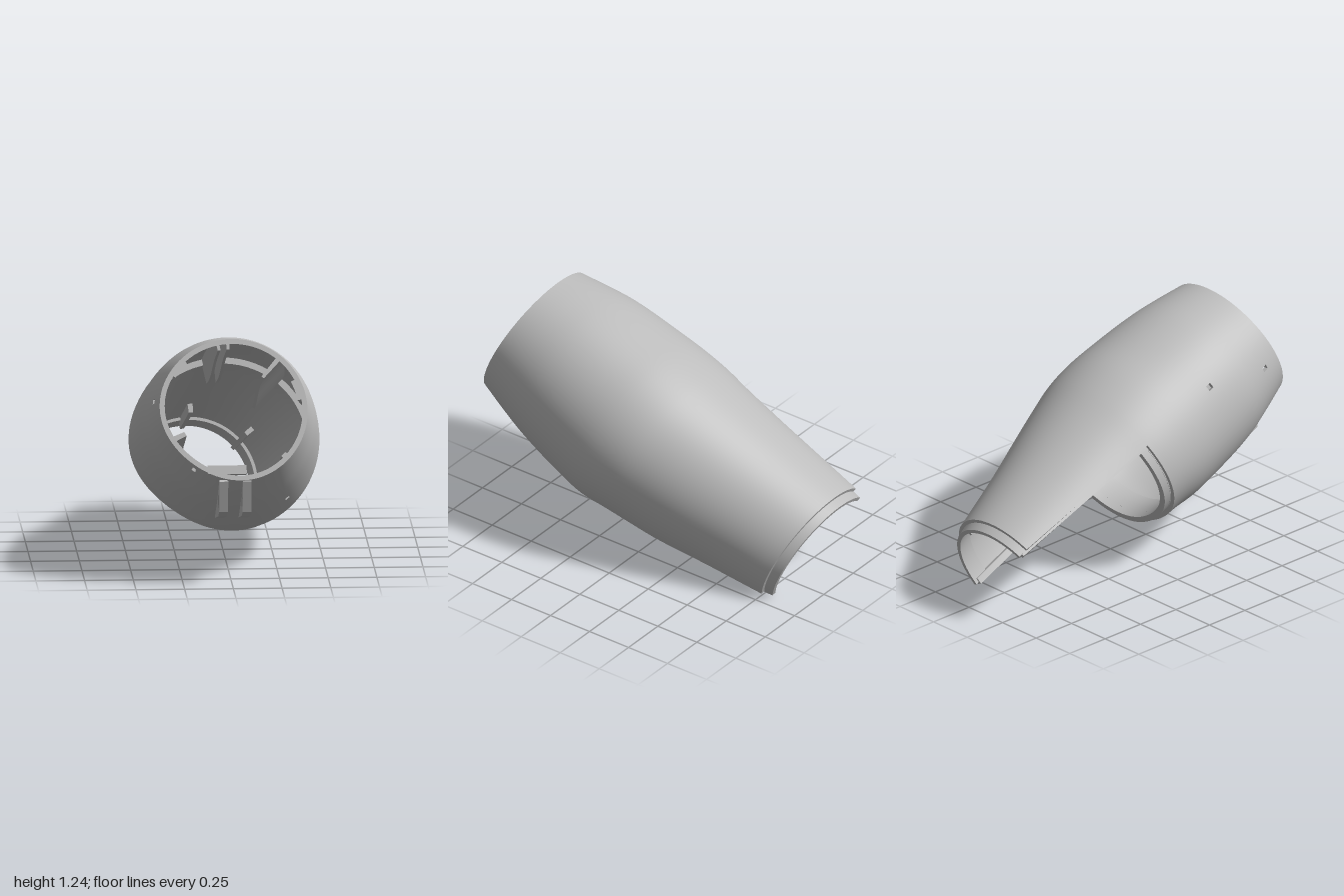
import * as THREE from 'three';
import { toCreasedNormals } from 'three/addons/utils/BufferGeometryUtils.js';

const RAD = Math.PI / 180;
const WALL = 0.026;
const BODY_END = 0.945, TAIL_END = 1.822;
// The tail is cut by a plane along the axis; its normal leans right and up.
const CUT = 50.5, NX = Math.cos(CUT * RAD), NY = Math.sin(CUT * RAD);

// Cross-sections along the axis: centre x, centre y, half width, half height
const stations = [0, 0.15, 0.3, 0.6, 0.75, 0.9, 1.05, 1.2, 1.5, 1.87];
const sections = [
  0.007, 0, 0.382, 0.376,
  0.003, 0, 0.415, 0.415,
  0, 0, 0.445, 0.446,
  0, 0, 0.478, 0.475,
  -0.002, 0.003, 0.487, 0.48,
  -0.01, 0.013, 0.482, 0.463,
  -0.025, 0.008, 0.462, 0.45,
  -0.045, 0, 0.444, 0.438,
  -0.09, -0.005, 0.405, 0.404,
  -0.14, -0.01, 0.365, 0.37,
];
const profile = new THREE.CubicInterpolant(
  new Float32Array(stations), new Float32Array(sections), 4, new Float32Array(4));

const at = (t) => [...profile.evaluate(t)];

// Point on the surface at an angle (degrees) and distance t, moved inward by inset;
// the side opposite the cut normal is slightly flattened
function point(deg, t, inset) {
  const [cx, cy, rx, ry] = at(t);
  const a = deg * RAD;
  const flat = (0.03 + 0.022 * THREE.MathUtils.smoothstep(t, 0.2, BODY_END))
    * Math.max(0, -Math.cos(a - CUT * RAD)) ** 3.5;
  const d = inset + flat;
  return [cx + (rx - d) * Math.cos(a), cy + (ry - d) * Math.sin(a), -t];
}

// Half angle kept by the cutting plane
function cutAngle(t) {
  const [cx, cy, rx, ry] = at(t);
  const offset = -0.04 + 0.03 * THREE.MathUtils.clamp((t - 0.96) / 0.9, 0, 1);
  return Math.acos((offset - NX * cx - NY * cy) / ((rx + ry) / 2)) / RAD;
}

// Thick curved panel; cells where keep() is false are left open with closed edges
function panel({ angle, n, rows, inset = 0, depth = () => WALL, closed = false, keep = () => true }) {
  const pos = [];
  const m = rows.length - 1;
  const quad = (a, b, c, d) => pos.push(...a, ...b, ...c, ...a, ...c, ...d);
  const kept = (i, j) => {
    if (j < 0 || j >= m) return false;
    if (closed) i = (i + n) % n;
    else if (i < 0 || i >= n) return false;
    return keep(i, j);
  };
  const grid = (d) => rows.map((t) =>
    Array.from({ length: n + 1 }, (_, i) => point(angle(i / n, t), t, d(t))));
  const O = grid(() => inset), I = grid((t) => inset + depth(t));
  for (let j = 0; j < m; j++) for (let i = 0; i < n; i++) {
    if (!kept(i, j)) continue;
    const [oa, ob, oc, od] = [O[j][i], O[j][i + 1], O[j + 1][i + 1], O[j + 1][i]];
    const [ia, ib, ic, id] = [I[j][i], I[j][i + 1], I[j + 1][i + 1], I[j + 1][i]];
    quad(oa, od, oc, ob);
    quad(ia, ib, ic, id);
    if (!kept(i, j - 1)) quad(ia, oa, ob, ib);
    if (!kept(i, j + 1)) quad(id, ic, oc, od);
    if (!kept(i - 1, j)) quad(ia, id, od, oa);
    if (!kept(i + 1, j)) quad(ib, ob, oc, ic);
  }
  const g = new THREE.BufferGeometry();
  g.setAttribute('position', new THREE.Float32BufferAttribute(pos, 3));
  return toCreasedNormals(g, 35 * RAD);
}

const steps = (a, b, n) => Array.from({ length: n + 1 }, (_, i) => a + (b - a) * i / n);

// Angles: first half of the range is the kept side, second half the cut-away side
const aroundCut = (f, t) => {
  const c = cutAngle(t);
  return CUT + (f < 0.5 ? -c + 4 * c * f : c + (f - 0.5) * 2 * (360 - 2 * c));
};
const keptSide = (f, t) => CUT + cutAngle(t) * (2 * f - 1);
const openSide = (f, t) => CUT + cutAngle(t) + f * (360 - 2 * cutAngle(t));

export function createModel() {
  const model = new THREE.Group();
  model.name = 'armShell';
  const grey = new THREE.MeshStandardMaterial({ color: 0xbcbcbc });
  grey.name = 'plainGrey';

  // Tilted frame: the axis runs back and down from the front opening
  const tilted = new THREE.Group();
  tilted.name = 'tiltedShell';
  tilted.position.set(0, 0.905, 0.85);
  tilted.rotation.x = -0.411;
  model.add(tilted);

  const add = (parent, name, geometry) => {
    const mesh = new THREE.Mesh(geometry, grey);
    mesh.name = name;
    parent.add(mesh);
    return mesh;
  };

  // Outer shell: full tube in front, half tube behind, with small screw holes
  const n = 96;
  const rows = [...steps(0, BODY_END, 30), ...steps(BODY_END, TAIL_END, 18).slice(1)];
  const holes = [[311, 0.5], [147, 0.47], [168, 0.12], [234, 0.06]].map(([deg, t]) => {
    let best = 0, gap = 999;
    for (let i = 0; i < n; i++) {
      const d = Math.abs(((aroundCut((i + 0.5) / n, t) - deg + 540) % 360) - 180);
      if (d < gap) { gap = d; best = i; }
    }
    return best + ',' + Math.floor(t / BODY_END * 30);
  });
  add(tilted, 'outerShell', panel({
    angle: aroundCut, n, rows, closed: true,
    keep: (i, j) => (j < 30 || i < n / 2) && !holes.includes(i + ',' + j),
  }));

  // Stepped joint lips
  add(tilted, 'tailLip', panel({
    angle: keptSide, n: 48, rows: steps(TAIL_END - 0.05, 1.87, 4), inset: 0.02, depth: () => 0.022 }));
  add(tilted, 'bodyLip', panel({
    angle: openSide, n: 48, rows: steps(BODY_END - 0.05, 0.99, 4), inset: 0.024, depth: () => 0.034 }));

  // Joint lips along both long cut edges, standing slightly past the shell
  for (const s of [-1, 1]) {
    add(tilted, s < 0 ? 'lowerEdgeLip' : 'upperEdgeLip', panel({
      angle: (f, t) => CUT + s * cutAngle(t) + (s < 0 ? -2 + 6 * f : -4 + 6 * f),
      n: 2, rows: steps(BODY_END, 1.85, 16), inset: 0.022, depth: () => 0.03 }));
  }

  // Straight ribs on the inner wall: angle, width, start, end, inner radius
  const ribs = {
    topRibLeft: [93, 2.5, 0.02, 0.87, 0.325],
    topRibRight: [101, 2.5, 0.02, 0.87, 0.325],
    sideFin: [49, 4, 0.005, 0.78, 0.23],
    sideRail: [205, 5, 0.03, 0.82, 0.285],
    lowerRail: [318, 5, 0.02, 0.5, 0.335],
  };
  for (const [name, [deg, width, t0, t1, radius]] of Object.entries(ribs)) {
    add(tilted, name, panel({
      angle: (f) => deg + width * (f - 0.5), n: 2, rows: steps(t0, t1, 16), inset: WALL - 0.004,
      depth: (t) => (at(t)[2] + at(t)[3]) / 2 - WALL - radius }));
  }

  // Thickened patches on the wall: angle, width, start, end, depth
  const pads = {
    sidePad: [18, 18, 0, 0.15, 0.025],
    upperPad: [140, 16, 0.01, 0.12, 0.02],
    tailRibLeft: [40, 4, 1.55, 1.82, 0.05],
    tailRibRight: [95, 4, 1.55, 1.82, 0.05],
  };
  for (const [name, [deg, width, t0, t1, depth]] of Object.entries(pads)) {
    add(tilted, name, panel({
      angle: (f) => deg + width * (f - 0.5), n: 4, rows: steps(t0, t1, 6),
      inset: WALL - 0.004, depth: () => depth }));
  }

  // Raised band inside where the body meets the tail
  add(tilted, 'innerBand', panel({
    angle: aroundCut, n: 72, closed: true, rows: steps(0.83, 0.95, 4),
    inset: WALL - 0.004, depth: () => 0.036 }));

  // Flat thickening of the front rim above the hinge
  const rimPad = add(tilted, 'rimPad', new THREE.BoxGeometry(0.2, 0.045, 0.035));
  rimPad.position.set(-0.03, -0.308, -0.018);

  // Pair of hinge lugs with pin holes
  const lug = new THREE.Shape([
    [1.0, 0.565], [0.97, 0.4], [0.88, 0.36], [0.58, 0.29], [0.6, 0.32], [0.75, 0.41], [0.98, 0.57],
  ].map(([z, y]) => new THREE.Vector2(z, y)));
  const pin = new THREE.Path();
  pin.absarc(0.905, 0.445, 0.038, 0, Math.PI * 2, true);
  lug.holes.push(pin);
  const lugGeometry = new THREE.ExtrudeGeometry(lug, { depth: 0.045, bevelEnabled: false, curveSegments: 16 });
  lugGeometry.rotateY(-Math.PI / 2);
  for (const [name, x] of [['hingeLugRight', -0.026], ['hingeLugLeft', 0.094]]) {
    add(model, name, lugGeometry).position.x = x;
  }
  return model;
}
